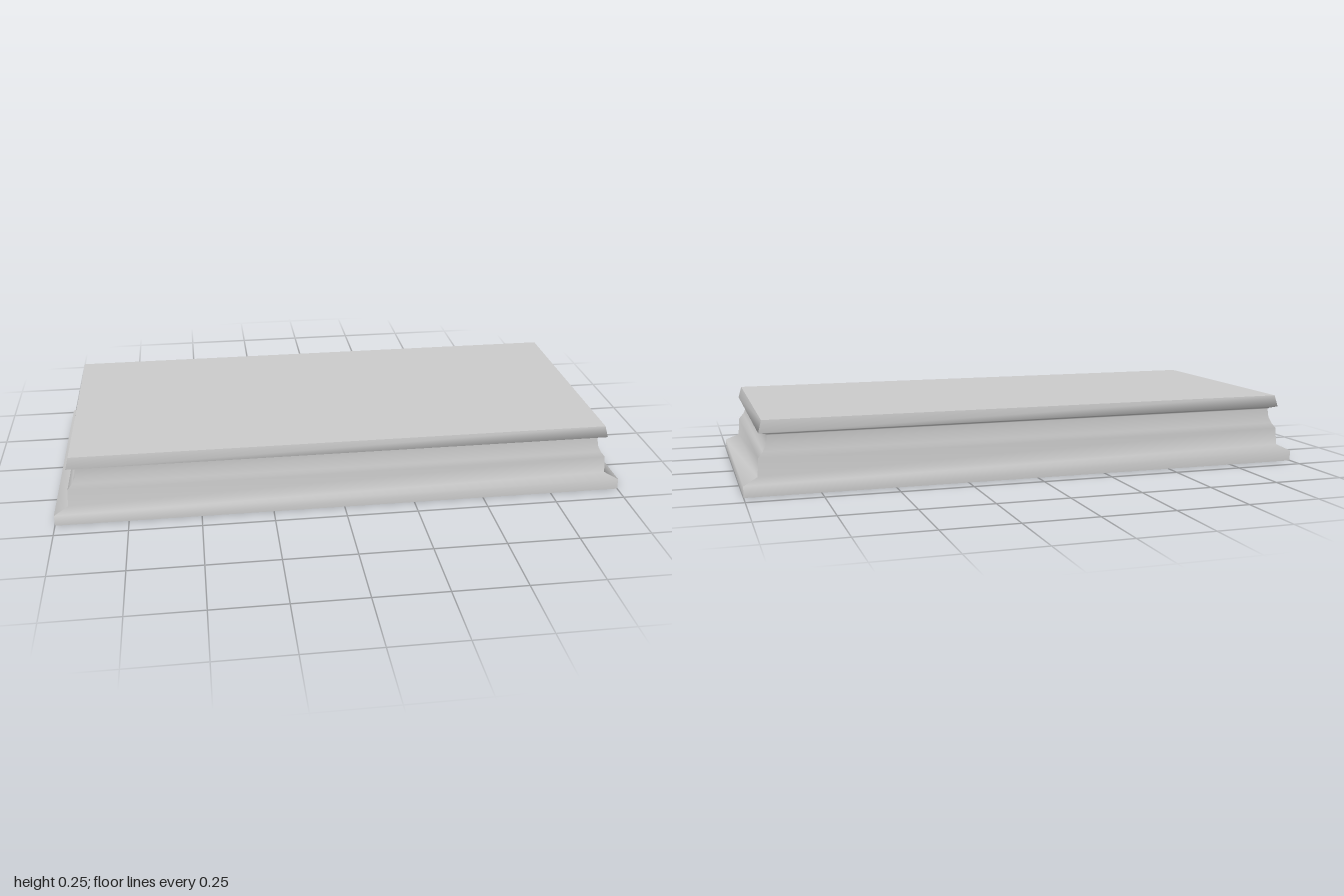
import * as THREE from 'three';

// Moulding profile from the ground up: [half width x, half depth z, height y]
const PROFILE = [
  [1.0, 0.435, 0], [1.0, 0.435, 0.038], [0.952, 0.414, 0.061],
  [0.948, 0.413, 0.122], [0.932, 0.408, 0.142], [0.921, 0.404, 0.165],
  [0.917, 0.402, 0.195], [0.923, 0.404, 0.199], [0.946, 0.424, 0.206],
  [0.935, 0.418, 0.247],
];
// Plan corners, counter-clockwise seen from above
const CORNERS = [[-1, 1], [1, 1], [1, -1], [-1, -1]];

// One face of the moulding: smooth up the profile, mitred at both ends
function mouldingSide(i) {
  const ends = [CORNERS[i], CORNERS[(i + 1) % 4]];
  const positions = [], index = [];
  PROFILE.forEach(([x, z, y], row) => {
    for (const [sx, sz] of ends) positions.push(sx * x, y, sz * z);
    if (row === 0) return;
    const a = (row - 1) * 2;
    index.push(a, a + 1, a + 3, a, a + 3, a + 2);
  });
  const geometry = new THREE.BufferGeometry();
  geometry.setAttribute('position', new THREE.Float32BufferAttribute(positions, 3));
  geometry.setIndex(index);
  geometry.computeVertexNormals();
  return geometry;
}

// Flat panel closing the top or the bottom
function panel([x, z, y], up) {
  return new THREE.PlaneGeometry(2 * x, 2 * z)
    .rotateX(up ? -Math.PI / 2 : Math.PI / 2)
    .translate(0, y, 0);
}

export function createModel() {
  const group = new THREE.Group();
  group.name = 'plinth';
  const material = new THREE.MeshStandardMaterial({ color: 0xcccccc });
  const add = (name, geometry) => {
    const mesh = new THREE.Mesh(geometry, material);
    mesh.name = name;
    group.add(mesh);
  };

  // Four moulded sides
  ['frontMoulding', 'leftMoulding', 'backMoulding', 'rightMoulding']
    .forEach((name, i) => add(name, mouldingSide(i)));

  // Slab top and underside
  add('topSurface', panel(PROFILE[PROFILE.length - 1], true));
  add('underside', panel(PROFILE[0], false));
  return group;
}
